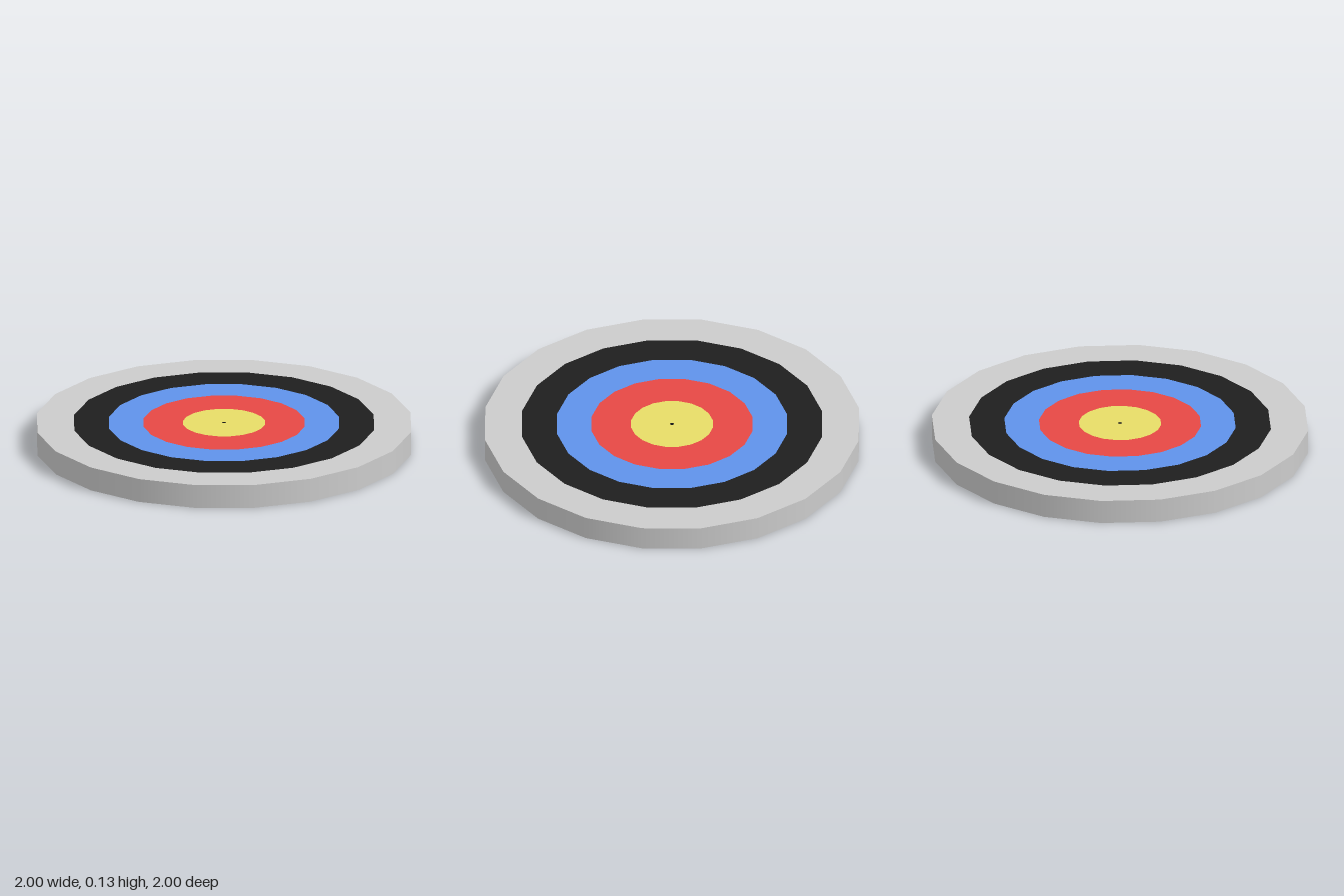
import * as THREE from 'three';

const SIDES = 20;
const HEIGHT = 0.128;

function part(group, name, geometry, color) {
  const mesh = new THREE.Mesh(geometry, new THREE.MeshStandardMaterial({ color }));
  mesh.name = name;
  group.add(mesh);
  return mesh;
}

export function createModel() {
  const group = new THREE.Group();
  group.name = 'target';

  // Rim wall, smooth shaded around its twenty sides
  const rim = new THREE.CylinderGeometry(1, 1, HEIGHT, SIDES, 1, true);
  part(group, 'rim', rim.translate(0, HEIGHT / 2, 0), 0xcccccc);

  // Flat underside
  part(group, 'underside', new THREE.CircleGeometry(1, SIDES).rotateX(Math.PI / 2), 0xcccccc);

  // Flush concentric bands on the face, from the outside in
  const bands = [
    ['outerBand', 1, 0xcccccc],
    ['blackBand', 0.802, 0x1e1e1e],
    ['blueBand', 0.615, 0x5f92ea],
    ['redBand', 0.431, 0xe64845],
    ['yellowCentre', 0.219, 0xe7dc67],
    ['centreDot', 0.01, 0x111111],
  ];
  bands.forEach(([name, outer, color], i) => {
    const geometry = i < bands.length - 1
      ? new THREE.RingGeometry(bands[i + 1][1], outer, SIDES)
      : new THREE.CircleGeometry(outer, SIDES);
    part(group, name, geometry.rotateX(-Math.PI / 2), color).position.y = HEIGHT;
  });

  return group;
}
